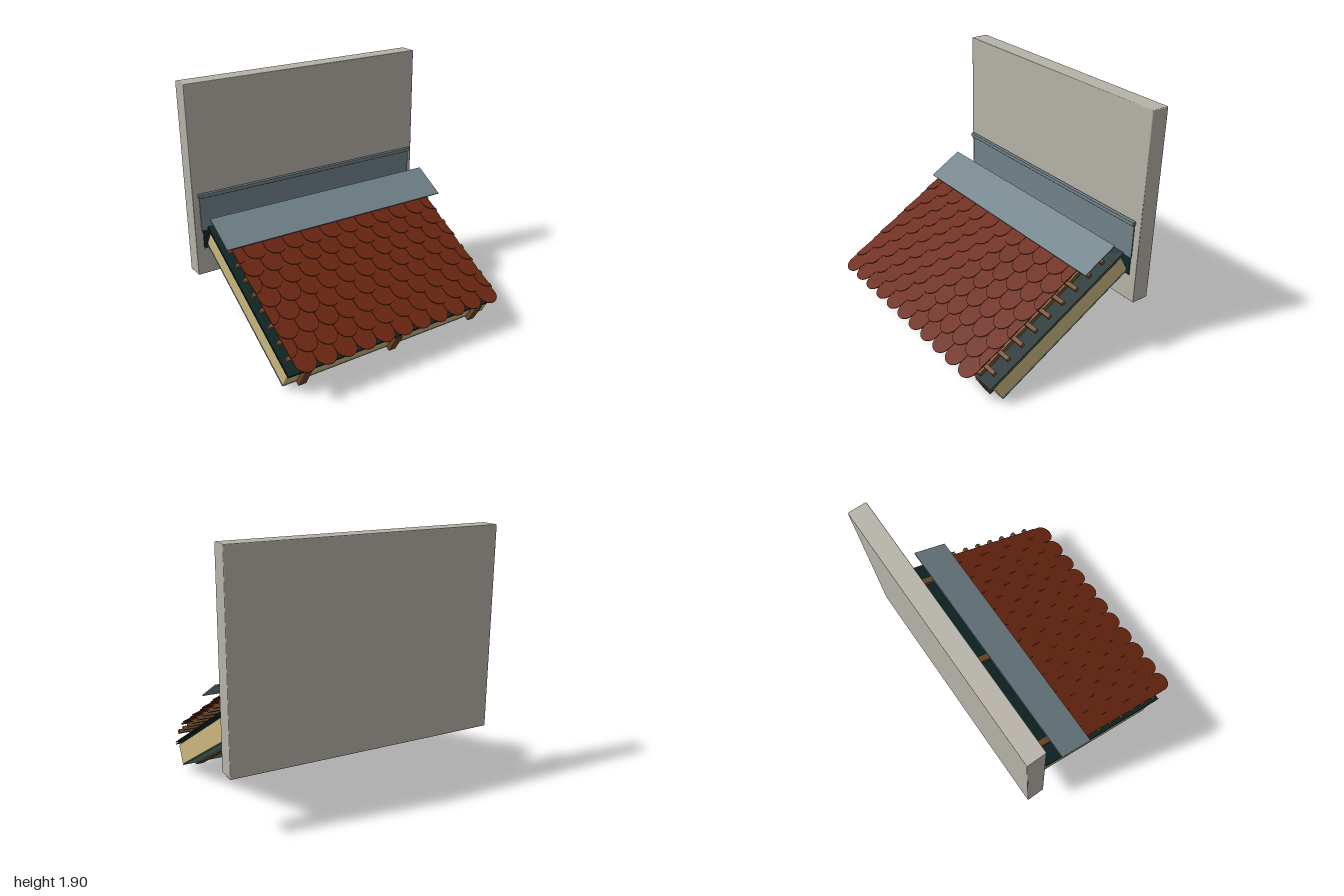
import * as THREE from 'three';
import { RoundedBoxGeometry } from 'three/addons/geometries/RoundedBoxGeometry.js';

const mat = (name, color, side = THREE.FrontSide) => {
  const m = new THREE.MeshStandardMaterial({ color, side });
  m.name = name;
  return m;
};

export function createModel() {
  const plaster = mat('plaster', 0xb6b2a8);
  const insulationTan = mat('insulation tan', 0xcbb67e);
  const rafterWood = mat('rafter wood', 0x684526);
  const battenWood = mat('batten wood', 0x74502f);
  const underlayDark = mat('underlay dark', 0x102828);
  const vapourTeal = mat('vapour barrier teal', 0x5f8484);
  const clay = mat('clay tile', 0x6c2611);
  const metal = mat('flashing metal', 0x72838a);

  const model = new THREE.Group();
  model.name = 'roofWallJunction';

  const add = (parent, name, geometry, material, x = 0, y = 0, z = 0) => {
    const mesh = new THREE.Mesh(geometry, material);
    mesh.name = name;
    mesh.position.set(x, y, z);
    parent.add(mesh);
    return mesh;
  };
  // Box given by its centre x, width and the limits of y and z
  const slab = (parent, name, material, x, w, y0, y1, z0, z1, bevel = 0) => add(
    parent, name,
    bevel ? new RoundedBoxGeometry(w, y1 - y0, z1 - z0, 1, bevel)
      : new THREE.BoxGeometry(w, y1 - y0, z1 - z0),
    material, x, (y0 + y1) / 2, (z0 + z1) / 2);

  // Wall with its upright flashing
  slab(model, 'wall', plaster, 0, 2, 0.43, 1.9, -0.74, -0.6, 0.006);
  slab(model, 'underlayUpstand', underlayDark, 0, 1.88, 0.64, 0.85, -0.599, -0.593);
  slab(model, 'wallFlashing', metal, 0, 1.91, 0.79, 1.06, -0.589, -0.581);
  slab(model, 'flashingCapBar', metal, 0, 1.93, 1.055, 1.085, -0.588, -0.558, 0.004);

  // Sloped layers: local z runs down the slope, local y is square to it
  const roof = new THREE.Group();
  roof.name = 'roof';
  roof.rotation.x = Math.PI / 6;
  model.add(roof);

  slab(roof, 'insulation', insulationTan, 0, 1.82, 0.276, 0.43, -0.86, 0.41, 0.008);
  slab(roof, 'vapourBarrier', vapourTeal, 0, 1.82, 0.269, 0.275, -0.86, 0.41);
  for (const n of [0.438, 0.454]) {
    slab(roof, 'underlay', underlayDark, 0, 1.85, n, n + 0.004, -0.885, 0.438);
  }
  const rafterX = [-0.767, 0, 0.767];
  for (const x of rafterX) {
    slab(roof, 'rafter', rafterWood, x, 0.065, 0.257, 0.432, -0.89, 0.445, 0.006);
    slab(roof, 'counterBatten', battenWood, x, 0.05, 0.461, 0.494, -0.872, 0.415, 0.004);
  }

  // Scalloped tile: side is 0 for a whole tile, -1 / 1 for its left / right half
  const R = 0.0785, LENGTH = 0.208, THICK = 0.006;
  const tileGeometry = (side) => {
    const left = side === 1 ? 0 : -R;
    const right = side === -1 ? 0 : R;
    const shape = new THREE.Shape();
    shape.moveTo(left, 0);
    shape.lineTo(right, 0);
    const a0 = side === -1 ? -Math.PI / 2 : 0;
    const a1 = side === 1 ? -Math.PI / 2 : -Math.PI;
    shape.absarc(0, -(LENGTH - R), R, a0, a1, true);
    shape.closePath();
    const g = new THREE.ExtrudeGeometry(shape, { depth: THICK, bevelEnabled: false, curveSegments: 20 });
    g.rotateX(-Math.PI / 2);
    return g;
  };
  const wholeTile = tileGeometry(0);
  const leftHalf = tileGeometry(-1);
  const rightHalf = tileGeometry(1);

  // Nine courses of tiles, each over its batten
  const STEP = 0.1327, PITCH = 0.16, FIRST = -0.911;
  for (let row = 0; row < 9; row++) {
    const s = 0.345 - row * STEP;
    slab(roof, 'batten', battenWood, 0, 1.82, 0.506, 0.537, s - 0.016, s + 0.016, 0.003);
    for (const x of rafterX) {
      add(roof, 'battenNail', new THREE.CylinderGeometry(0.005, 0.005, 0.02, 8), battenWood, x, 0.545, s);
    }

    const course = new THREE.Group();
    course.name = 'tileCourse';
    course.position.set(0, 0.581, 0.303 - row * STEP);
    course.rotation.x = -0.058;
    roof.add(course);
    const staggered = row % 2 === 1;
    const count = staggered ? 10 : 11;
    for (let i = 0; i < count; i++) {
      add(course, 'tile', wholeTile, clay, FIRST + PITCH * (i + (staggered ? 1 : 0.5)));
    }
    if (staggered) {
      add(course, 'halfTile', rightHalf, clay, FIRST);
      add(course, 'halfTile', leftHalf, clay, FIRST + 11 * PITCH);
    }
  }

  // Sloped apron over the top courses
  slab(roof, 'apronFlashing', metal, 0, 1.91, 0.611, 0.62, -0.832, -0.538);

  return model;
}
